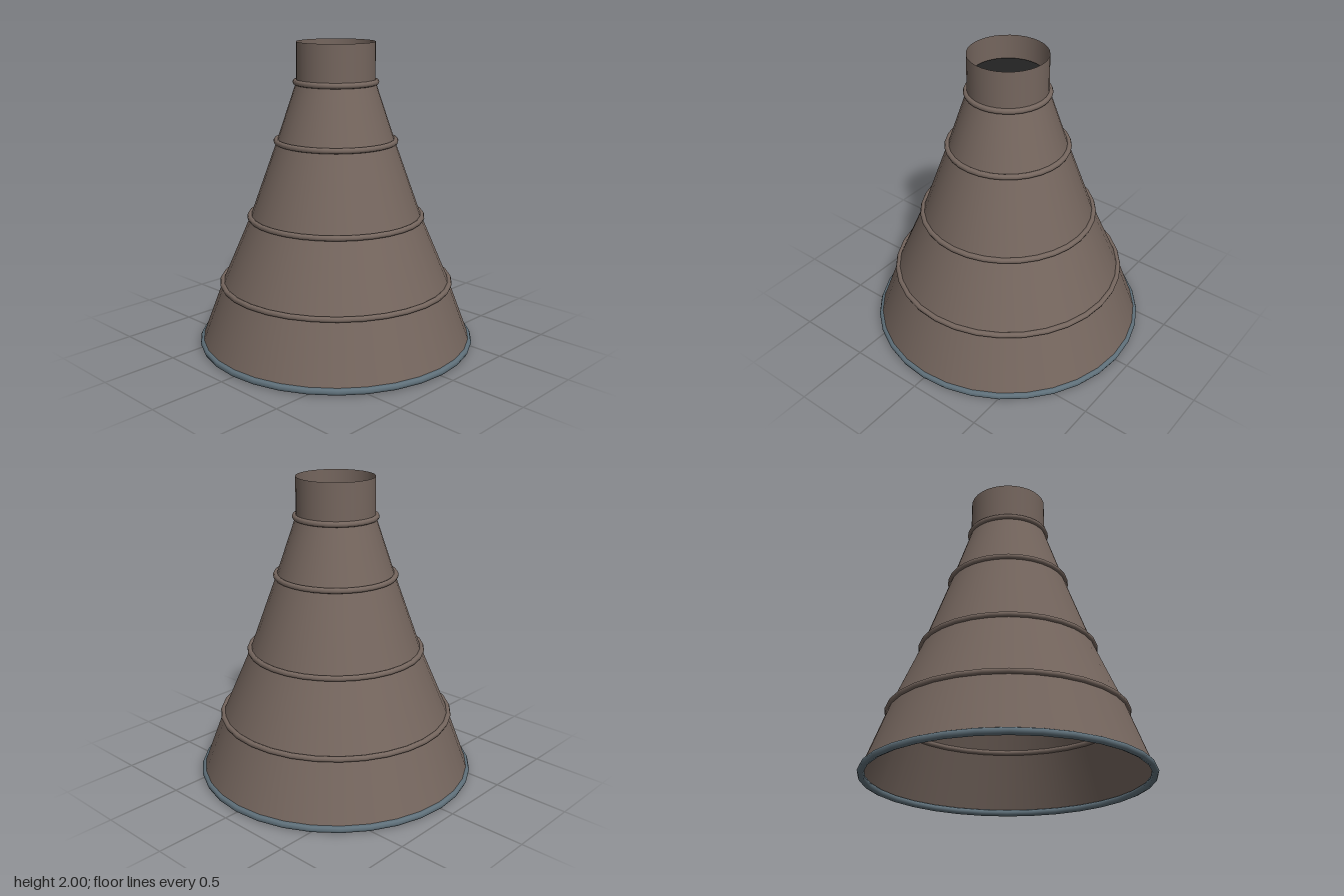
import * as THREE from 'three';

const SEGMENTS = 32;

export function createModel() {
  const group = new THREE.Group();
  group.name = 'nozzle';

  const shellMetal = new THREE.MeshStandardMaterial({ color: 0x75665e, side: THREE.DoubleSide });
  shellMetal.name = 'brown metal';
  const rimMetal = new THREE.MeshStandardMaterial({ color: 0x5f707a });
  rimMetal.name = 'blue grey metal';
  const darkMetal = new THREE.MeshStandardMaterial({ color: 0x222222, side: THREE.DoubleSide });
  darkMetal.name = 'dark interior';

  const add = (name, geometry, material, y) => {
    const mesh = new THREE.Mesh(geometry, material);
    mesh.name = name;
    mesh.position.y = y;
    group.add(mesh);
    return mesh;
  };

  const addRing = (name, radius, tube, material, y) => {
    const geometry = new THREE.TorusGeometry(radius, tube, 8, SEGMENTS).rotateX(Math.PI / 2);
    return add(name, geometry, material, y);
  };

  // Open shell: flared sections stacked up to a straight throat, as [radius, y]
  const profile = [[0.905, 0.02], [0.755, 0.42], [0.563, 0.865], [0.383, 1.365], [0.255, 1.745], [0.253, 2]];
  for (let i = 0; i < profile.length - 1; i++) {
    const [r0, y0] = profile[i];
    const [r1, y1] = profile[i + 1];
    const geometry = new THREE.CylinderGeometry(r1, r0, y1 - y0, SEGMENTS, 1, true);
    add(i === profile.length - 2 ? 'throat' : `bellSection${i + 1}`, geometry, shellMetal, (y0 + y1) / 2);
  }

  // Stiffening bands over the joints
  profile.slice(1, 5).forEach(([radius, y], i) => {
    addRing(`band${i + 1}`, radius + 0.005, 0.0185, shellMetal, y);
  });

  // Exit rim
  addRing('exitRim', 0.8975, 0.0225, rimMetal, 0.0225);

  // Dark plate inside the throat, leaving a thin gap around it
  add('throatPlate', new THREE.CircleGeometry(0.236, SEGMENTS).rotateX(-Math.PI / 2), darkMetal, 1.85);

  return group;
}
